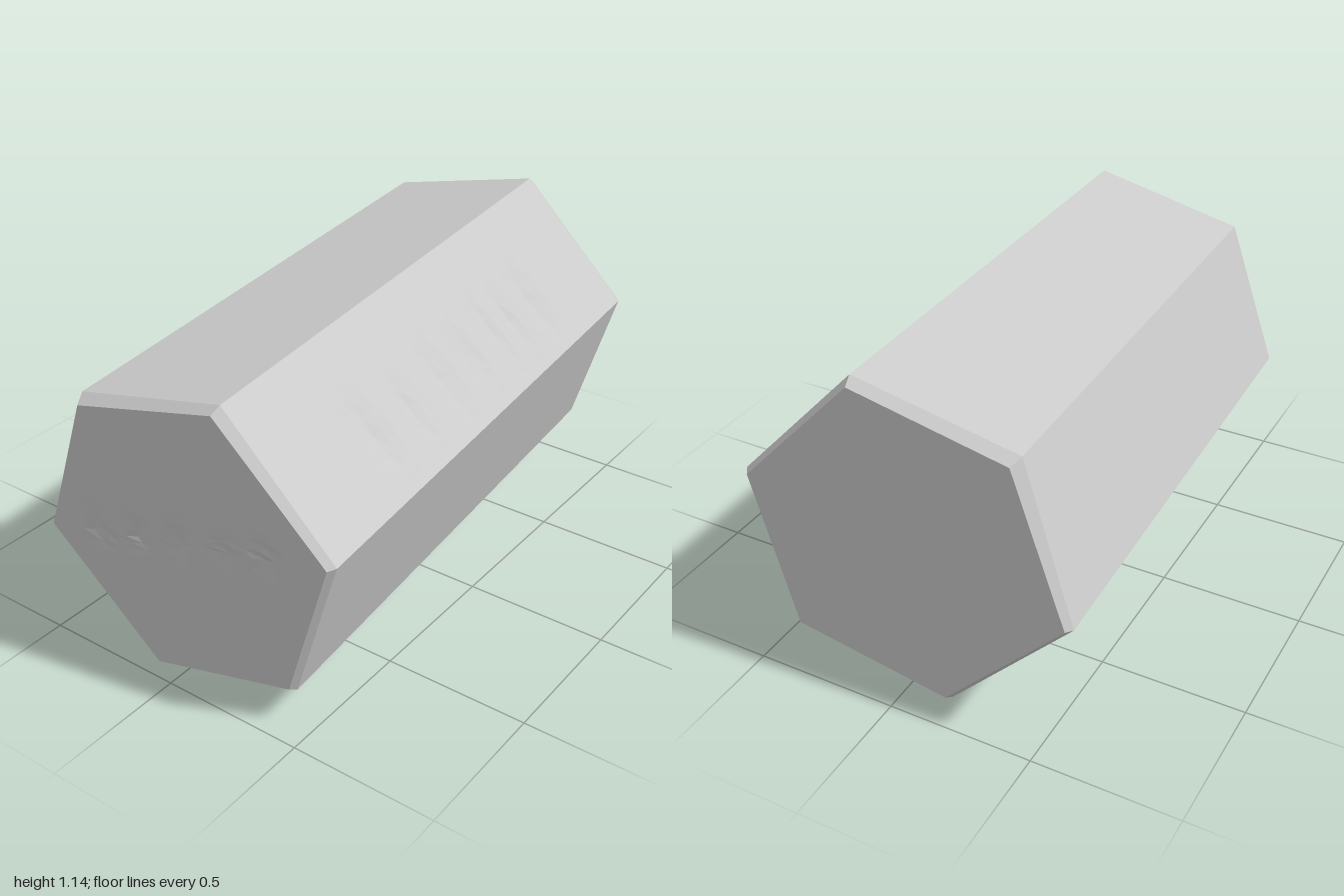
import * as THREE from 'three';

// Corners of the front hexagon, counter-clockwise from the bottom one
const HEX = [[-0.1, 0.003], [0.435, 0.125], [0.6, 0.65], [0.22, 1.06], [-0.32, 0.935], [-0.5, 0.41]];
const SHIFT = [-0.1, 0.085]; // drift of the slightly tilted axis, front to back
const FRONT_BEVEL = [0.01, 0.025, 0.025, 0.035, 0.045, 0.02];
const BACK_BEVEL = [0.035, 0.025, 0.03, 0.035, 0.04, 0.025];
const M = 8; // segments per hexagon side
const N = 48; // segments along the length

const lerp = THREE.MathUtils.lerp;
const centre = (end) => [0.05 + SHIFT[0] * (1 - end), 0.53 + SHIFT[1] * (1 - end)];

// Height of an end plane (end 0 = back, 1 = front), square to the tilted axis
function planeZ(end, x, y) {
  const [cx, cy] = centre(end);
  return (end ? 0.962 : -0.967) - 0.053 * (x - cx) + 0.045 * (y - cy);
}

// One hexagon corner, either on the outer rim or on the bevelled cap
function corner(end, i, cap) {
  const bevel = (end ? FRONT_BEVEL : BACK_BEVEL)[i];
  const [cx, cy] = centre(end);
  const x = HEX[i][0] + SHIFT[0] * (1 - end);
  const y = HEX[i][1] + SHIFT[1] * (1 - end);
  const s = cap ? 1 - bevel * 1.2 : 1;
  const px = cx + (x - cx) * s, py = cy + (y - cy) * s;
  return new THREE.Vector3(px, py, planeZ(end, px, py) - (cap ? 0 : (end ? 1 : -1) * bevel));
}

// A full loop of points around one end
function loop(end, cap) {
  const pts = [];
  for (let i = 0; i < 6; i++) {
    const a = corner(end, i, cap), b = corner(end, (i + 1) % 6, cap);
    for (let k = 0; k < M; k++) pts.push(a.clone().lerp(b, k / M));
  }
  return pts;
}

// Small wedge-shaped gouges: [z, width, depth]
const GOUGES = [[0.5, 0.07, 0.014], [0.3, 0.05, 0.01], [0.1, 0.06, 0.012], [-0.07, 0.05, 0.012],
  [-0.23, 0.05, 0.012], [-0.36, 0.05, 0.012], [-0.52, 0.06, 0.014]];
function gougeDepth(z, u) {
  const across = Math.max(0, 1 - Math.abs(u - 0.35) / 0.3);
  return GOUGES.reduce((d, [gz, w, depth]) => Math.max(d, depth * across * (1 - Math.abs(z - gz) / w)), 0);
}

function prismGeometry() {
  const rings = [];
  const backCap = loop(0, true), frontCap = loop(1, true);
  const back = loop(0, false), front = loop(1, false);

  const capRing = (pts, end, s) => {
    const [cx, cy] = centre(end);
    const c = new THREE.Vector3(cx, cy, planeZ(end, cx, cy));
    return pts.map((p) => {
      const q = c.clone().lerp(p, s);
      // faint creases across the middle of the front end
      if (end && s < 0.9) {
        const band = Math.max(0, 1 - Math.abs(q.y - 0.52 - 0.2 * q.x) / 0.09);
        q.z -= 0.009 * band * Math.max(0, Math.sin(q.x * 38));
      }
      return q;
    });
  };

  // back end, from its centre out to the bevel
  rings.push(capRing(backCap, 0, 0), backCap);
  // long sides, with gouges in the upper right and lower left faces
  for (let r = 0; r <= N; r++) {
    const t = r / N;
    rings.push(back.map((p, j) => {
      const q = p.clone().lerp(front[j], t);
      const side = Math.floor(j / M), u = (j % M) / M;
      if (side === 2 || side === 5) {
        const d = side === 2 ? gougeDepth(q.z, u) : 0.6 * gougeDepth(q.z * 1.5, u);
        const a = HEX[side], b = HEX[(side + 1) % 6];
        const len = Math.hypot(b[0] - a[0], b[1] - a[1]);
        q.x -= d * (b[1] - a[1]) / len;
        q.y += d * (b[0] - a[0]) / len;
      }
      return q;
    }));
  }
  // front end, from the bevel in to its centre
  for (let k = 12; k >= 0; k--) rings.push(capRing(frontCap, 1, k / 12));

  const pos = [], index = [], n = 6 * M;
  rings.forEach((ring) => ring.forEach((p) => pos.push(p.x, p.y, p.z)));
  for (let r = 0; r < rings.length - 1; r++) {
    for (let j = 0; j < n; j++) {
      const a = r * n + j, b = r * n + (j + 1) % n;
      if (r > 0) index.push(a, b, b + n);
      if (r < rings.length - 2) index.push(a, b + n, a + n);
      else continue;
    }
  }
  // the collapsed centre loop of the back end needs only its outer triangles
  const geo = new THREE.BufferGeometry();
  geo.setAttribute('position', new THREE.Float32BufferAttribute(pos, 3));
  geo.setIndex(index);
  const flat = geo.toNonIndexed();
  flat.computeVertexNormals();
  return flat;
}

export function createModel() {
  const group = new THREE.Group();
  group.name = 'hexagonalBar';
  const bar = new THREE.Mesh(
    prismGeometry(),
    new THREE.MeshStandardMaterial({ color: 0xcccccc, flatShading: true })
  );
  bar.name = 'bevelledHexagonalPrism';
  group.add(bar);
  return group;
}
